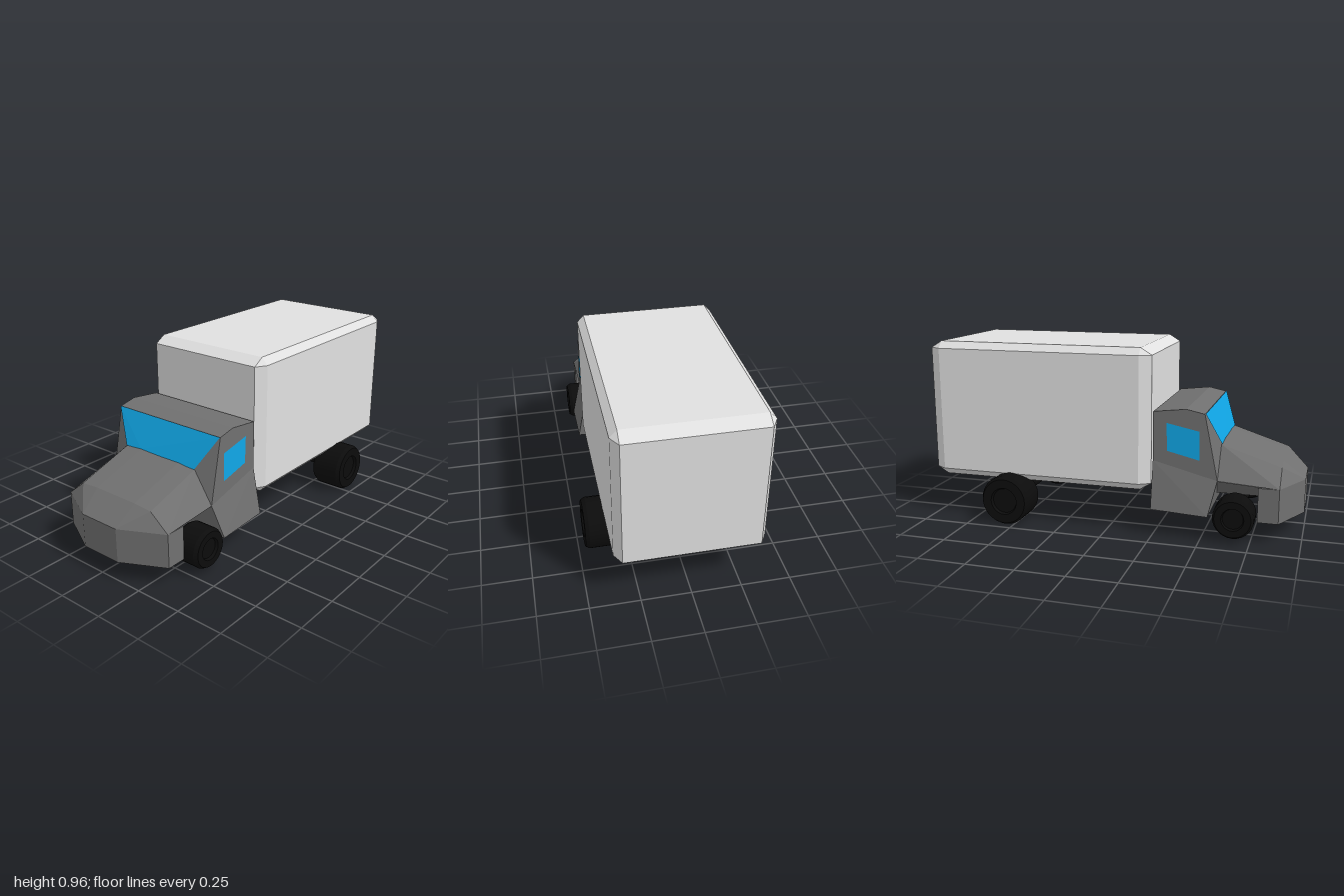
import * as THREE from 'three';
import { ConvexGeometry } from 'three/addons/geometries/ConvexGeometry.js';
import { toCreasedNormals } from 'three/addons/utils/BufferGeometryUtils.js';

const material = (name, color) => {
  const m = new THREE.MeshStandardMaterial({ color });
  m.name = name;
  return m;
};

export function createModel() {
  const truck = new THREE.Group();
  truck.name = 'boxTruck';

  const cargoGrey = material('cargoLightGrey', 0xe0e0e0);
  const cabGrey = material('cabGrey', 0x707070);
  const glassBlue = material('glassBlue', 0x12b2f6);
  const rubber = material('tyreBlack', 0x0c0c0c);

  const add = (name, geometry, mat) => {
    const mesh = new THREE.Mesh(geometry, mat);
    mesh.name = name;
    truck.add(mesh);
    return mesh;
  };

  // Faceted solid, from points on the left half mirrored to the right
  const solid = (name, half, mat) => add(name, new ConvexGeometry(
    half.flatMap(([x, y, z]) => [new THREE.Vector3(x, y, z), new THREE.Vector3(-x, y, z)])), mat);

  // Flat polygon, corners counter-clockwise seen from outside
  const panel = (name, corners, mat) => {
    const tris = [];
    for (let i = 1; i < corners.length - 1; i++) tris.push(corners[0], corners[i], corners[i + 1]);
    const g = new THREE.BufferGeometry();
    g.setAttribute('position', new THREE.Float32BufferAttribute(tris.flat(), 3));
    g.computeVertexNormals();
    return add(name, g, mat);
  };

  // Cargo box with chamfered edges
  const cargo = [];
  for (const [y, dy] of [[0.225, 0.037], [0.965, -0.037]]) {
    for (const [z, dz] of [[-1, 0.06], [0.23, -0.06]]) {
      cargo.push([0.37, y + dy, z + dz], [0.335, y, z + dz], [0.335, y + dy, z]);
    }
  }
  solid('cargoBox', cargo, cargoGrey);

  // Cab: upright upper half, flared lower half
  const sill = [[0.342, 0.39, 0.24], [0.342, 0.305, 0.575]];
  solid('cabUpper', [...sill,
    [0.342, 0.645, 0.24], [0.342, 0.665, 0.41], [0.342, 0.645, 0.505],
    [0.235, 0.47, 0.575], [0.13, 0.478, 0.575]], cabGrey);
  solid('cabLower', [...sill, [0.39, 0.14, 0.24], [0.39, 0.125, 0.535]], cabGrey);

  // Bonnet, nose and the sloped inner faces of the front wheel arches
  solid('bonnet', [
    [0.13, 0.478, 0.575], [0.235, 0.47, 0.575], [0.342, 0.305, 0.575],
    [0.13, 0.378, 0.885], [0.235, 0.37, 0.885], [0.342, 0.285, 0.885],
    [0.115, 0.285, 1]], cabGrey);
  solid('nose', [0.105, 0.285].flatMap((y) =>
    [[0.342, y, 0.78], [0.342, y, 0.885], [0.115, y, 1]]), cabGrey);
  solid('wheelArches', [
    [0.341, 0.304, 0.56], [0.341, 0.29, 0.79],
    [0.2, 0.2, 0.54], [0.2, 0.2, 0.79]], cabGrey);

  // Windscreen and door windows
  panel('windscreen', [
    [-0.13, 0.478, 0.575], [0.13, 0.478, 0.575], [0.235, 0.47, 0.575],
    [0.342, 0.645, 0.505], [-0.342, 0.645, 0.505], [-0.235, 0.47, 0.575]], glassBlue)
    .position.set(0, 0.0015, 0.004);
  const windowOutline = [[0.405, 0.483], [0.445, 0.315], [0.59, 0.31], [0.555, 0.48]];
  const leftWindow = windowOutline.map(([y, z]) => [0.345, y, z]);
  const rightWindow = windowOutline.map(([y, z]) => [-0.345, y, z]).reverse();
  panel('leftWindow', leftWindow, glassBlue);
  panel('rightWindow', rightWindow, glassBlue);

  // Wheels with bevelled tyres and recessed hubs, joined by axles
  const wheelGeometry = (r, width) => {
    const h = width / 2;
    const profile = [
      [0, -h], [r - 0.012, -h], [r, -h + 0.02], [r, h - 0.02], [r - 0.012, h],
      [r * 0.55, h], [r * 0.5, h - 0.015], [0, h - 0.015],
    ].map(([x, y]) => new THREE.Vector2(x, y));
    return toCreasedNormals(new THREE.LatheGeometry(profile, 28), 0.5);
  };
  const axles = [
    { name: 'front', y: 0.13, z: 0.665, r: 0.105, inner: 0.265, outer: 0.41 },
    { name: 'rear', y: 0.135, z: -0.545, r: 0.132, inner: 0.288, outer: 0.468 },
  ];
  for (const { name, y, z, r, inner, outer } of axles) {
    const geometry = wheelGeometry(r, outer - inner);
    for (const side of [1, -1]) {
      const wheel = add(name + (side > 0 ? 'LeftWheel' : 'RightWheel'), geometry, rubber);
      wheel.position.set(side * (inner + outer) / 2, y, z);
      wheel.rotation.z = -side * Math.PI / 2;
    }
    const axle = add(name + 'Axle', new THREE.CylinderGeometry(0.034, 0.034, inner * 2 + 0.02, 16), rubber);
    axle.position.set(0, y, z);
    axle.rotation.z = Math.PI / 2;
  }

  return truck;
}
